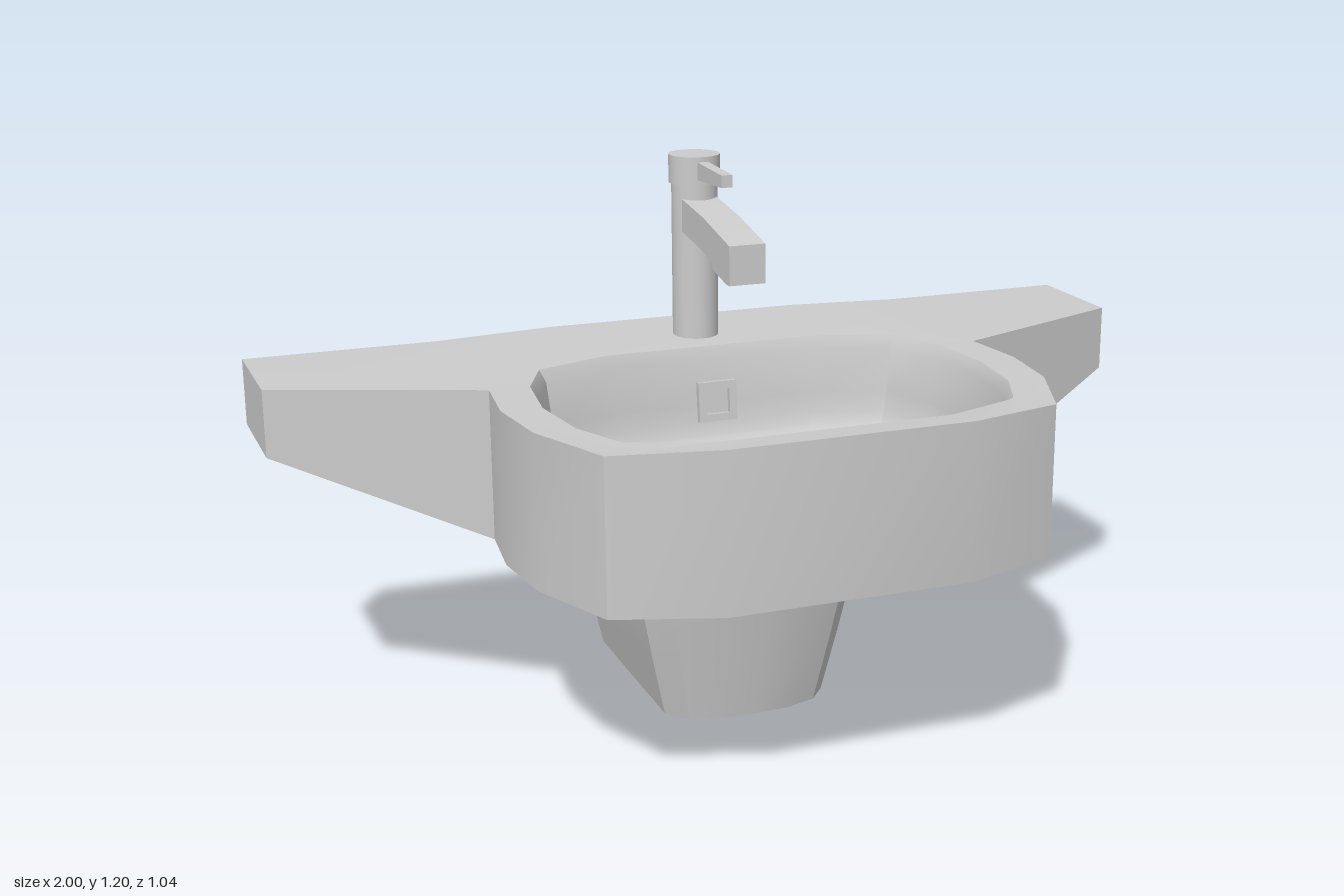
import * as THREE from 'three';
import { toCreasedNormals } from 'three/addons/utils/BufferGeometryUtils.js';

const ceramic = new THREE.MeshStandardMaterial({ color: 0xcccccc });
ceramic.name = 'light grey ceramic';

// Mirror right-half points [x, z, ...] (front to back) into a closed outline
const mirror = (half) => [
  ...half,
  ...half.slice().reverse().filter((p) => p[0] > 0).map(([x, ...r]) => [-x, ...r]),
];

// Skin consecutive rings of [x, y, z]; optional fan caps on the first and last ring
function loft(rings, { capStart = false, capEnd = false, crease = 0.4 } = {}) {
  const out = [];
  const n = rings[0].length;
  for (let k = 0; k + 1 < rings.length; k++) {
    const a = rings[k], b = rings[k + 1];
    for (let i = 0; i < n; i++) {
      const j = (i + 1) % n;
      out.push(a[i], a[j], b[j], a[i], b[j], b[i]);
    }
  }
  const fan = (ring, flip) => {
    const c = [0, 1, 2].map((m) => ring.reduce((s, p) => s + p[m], 0) / n);
    ring.forEach((p, i) => {
      const q = ring[(i + 1) % n];
      out.push(c, flip ? q : p, flip ? p : q);
    });
  };
  if (capStart) fan(rings[0], true);
  if (capEnd) fan(rings[rings.length - 1], false);
  const g = new THREE.BufferGeometry();
  g.setAttribute('position', new THREE.Float32BufferAttribute(out.flat(), 3));
  return toCreasedNormals(g, crease);
}

const flatShape = (pts) => new THREE.Shape(pts.map(([x, z]) => new THREE.Vector2(x, -z)));

// Extrude a side profile of [z, y] points across x
function sideExtrude(pts, width) {
  const g = new THREE.ExtrudeGeometry(
    new THREE.Shape(pts.map(([z, y]) => new THREE.Vector2(z, y))),
    { depth: width, bevelEnabled: false });
  g.translate(0, 0, -width / 2);
  g.rotateY(-Math.PI / 2);
  return toCreasedNormals(g, 0.4);
}

export function createModel() {
  const model = new THREE.Group();
  const add = (name, geometry, parent = model) => {
    const m = new THREE.Mesh(geometry, ceramic);
    m.name = name;
    parent.add(m);
    return m;
  };

  // Outline of slab and wings: x, z, bottom y
  const outline = mirror([
    [0.26, 0.52, 0.46], [0.48, 0.445, 0.46], [0.56, 0.25, 0.46], [0.58, 0.08, 0.46],
    [0.562, -0.08, 0.46], [1, -0.255, 0.64], [1, -0.525, 0.64], [0.57, -0.525, 0.46],
    [0.3, -0.525, 0.46],
  ]);
  const topY = (x, z) => (Math.abs(x) < 0.31 && Math.abs(z) > 0.5 ? 0.797 : 0.788);

  // Outer walls
  add('basinWalls', loft([
    outline.map(([x, z, y]) => [x, y, z]),
    outline.map(([x, z]) => [x, topY(x, z), z]),
  ]));

  // Underside of the basin and the sloping wings
  const under = new THREE.ShapeGeometry(flatShape(outline.filter((p) => p[2] < 0.5)));
  under.rotateX(Math.PI / 2).scale(1, 1, -1);
  under.setIndex(Array.from(under.index.array));
  const underMesh = under.toNonIndexed();
  const up = underMesh.attributes.position;
  // Face the underside downwards
  for (let i = 0; i < up.count; i += 3) {
    const t = [0, 1, 2].map((k) => [up.getX(i + k), 0.46, up.getZ(i + k)]);
    const cross = (t[1][2] - t[0][2]) * (t[2][0] - t[0][0]) - (t[1][0] - t[0][0]) * (t[2][2] - t[0][2]);
    const order = cross > 0 ? [0, 2, 1] : [0, 1, 2];
    order.forEach((o, k) => up.setXYZ(i + k, ...t[o]));
  }
  underMesh.computeVertexNormals();
  add('basinUnderside', underMesh);
  for (const s of [1, -1]) {
    const q = [[0.562, 0.46, -0.08], [0.57, 0.46, -0.525], [1, 0.64, -0.525], [1, 0.64, -0.255]]
      .map(([x, y, z]) => [s * x, y, z]);
    const o = s > 0 ? [0, 1, 2, 0, 2, 3] : [0, 2, 1, 0, 3, 2];
    const g = new THREE.BufferGeometry();
    g.setAttribute('position', new THREE.Float32BufferAttribute(o.flatMap((i) => q[i]), 3));
    g.computeVertexNormals();
    add(s > 0 ? 'leftWingUnderside' : 'rightWingUnderside', g);
  }

  // Top deck with the bowl opening
  const opening = mirror([
    [0.25, 0.435], [0.42, 0.375], [0.475, 0.25], [0.495, 0.0875],
    [0.475, -0.075], [0.42, -0.2], [0.25, -0.26],
  ]);
  const deckShape = flatShape(outline);
  deckShape.holes.push(new THREE.Path(opening.map(([x, z]) => new THREE.Vector2(x, -z))));
  const deck = new THREE.ShapeGeometry(deckShape).rotateX(-Math.PI / 2);
  const dp = deck.attributes.position;
  for (let i = 0; i < dp.count; i++) dp.setY(i, topY(dp.getX(i), dp.getZ(i)));
  deck.computeVertexNormals();
  add('deck', deck);

  // Bowl: lip, steep wall, rounded foot, floor
  const bowlRings = [[0.788, 1], [0.76, 0.97], [0.66, 0.945], [0.615, 0.925], [0.587, 0.9], [0.572, 0.865]]
    .map(([y, s]) => opening.map(([x, z]) => [x * s, y, 0.0875 + (z - 0.0875) * s]));
  add('bowl', loft(bowlRings, { capEnd: true, crease: 0.5 }));

  // Square fittings: a frame round a recessed plate
  const fitting = (name, outer, inner) => {
    const g = new THREE.Group();
    g.name = name;
    const square = (r, T) => new T([[-r, -r], [r, -r], [r, r], [-r, r]].map((p) => new THREE.Vector2(...p)));
    const frame = square(outer, THREE.Shape);
    frame.holes.push(square(inner, THREE.Path));
    add(name + 'Frame', new THREE.ExtrudeGeometry(frame, { depth: 0.02, bevelEnabled: false }), g);
    add(name + 'Plate', new THREE.BoxGeometry(inner * 2, inner * 2, 0.006).translate(0, 0, 0.004), g);
    model.add(g);
    return g;
  };
  const drain = fitting('drain', 0.075, 0.055);
  drain.rotation.x = -Math.PI / 2;
  drain.position.set(0, 0.566, 0.088);
  const overflow = fitting('overflow', 0.045, 0.028);
  overflow.rotation.x = -0.09;
  overflow.position.set(0, 0.665, -0.246);

  // Tapered pedestal: [bottom x, bottom z, top z] with width curving by height
  const foot = mirror([
    [0, 0.005, 0.09], [0.08, 0, 0.085], [0.15, -0.022, 0.055],
    [0.19, -0.07, -0.02], [0.19, -0.525, -0.525],
  ]);
  const pedestalRings = [[0, 0.19], [0.15, 0.224], [0.3, 0.254], [0.38, 0.261], [0.46, 0.262]]
    .map(([y, w]) => foot.map(([x, z0, z1]) => [x * w / 0.19, y, z0 + (z1 - z0) * y / 0.46]));
  add('pedestal', loft(pedestalRings, { capStart: true, crease: 0.45 }));

  // Tap
  const tap = new THREE.Group();
  tap.name = 'tap';
  model.add(tap);
  add('tapColumn', new THREE.CylinderGeometry(0.052, 0.052, 0.36, 28).translate(0, 0.965, -0.371), tap);
  add('tapCap', new THREE.CylinderGeometry(0.058, 0.058, 0.063, 28).translate(0, 1.172, -0.371), tap);
  add('tapSpout', sideExtrude([
    [-0.35, 1.036], [-0.22, 1.018], [-0.147, 1.003], [-0.147, 0.988], [-0.065, 0.972],
    [-0.045, 0.972], [-0.045, 1.058], [-0.2, 1.09], [-0.35, 1.11],
  ], 0.082), tap);
  add('tapHandle', sideExtrude([
    [-0.33, 1.152], [-0.165, 1.16], [-0.165, 1.187], [-0.33, 1.193],
  ], 0.025), tap);

  return model;
}
